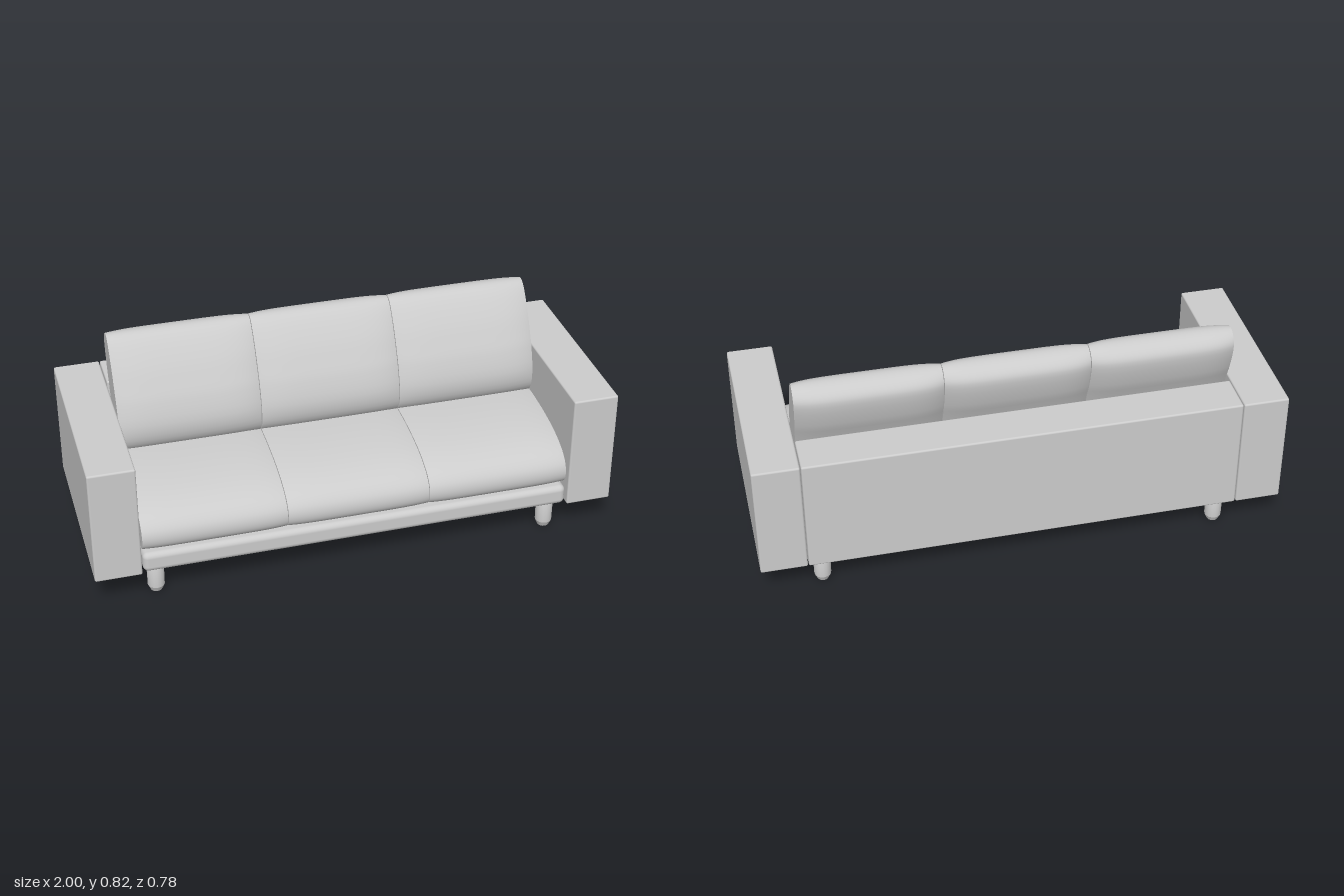
import * as THREE from 'three';
import { RoundedBoxGeometry } from 'three/addons/geometries/RoundedBoxGeometry.js';

const material = new THREE.MeshStandardMaterial({ color: 0xcccccc });

function add(parent, name, geometry, x = 0, y = 0, z = 0) {
  const mesh = new THREE.Mesh(geometry, material);
  mesh.name = name;
  mesh.position.set(x, y, z);
  parent.add(mesh);
  return mesh;
}

// Box given by its limits on each axis
function block(parent, name, [x0, x1], [y0, y1], [z0, z1], radius) {
  const geometry = new RoundedBoxGeometry(x1 - x0, y1 - y0, z1 - z0, 3, radius);
  add(parent, name, geometry, (x0 + x1) / 2, (y0 + y1) / 2, (z0 + z1) / 2);
}

// Padded cushion: a closed (z, y) profile, counter-clockwise, lofted along x.
// squeeze(z, y, t) pulls the profile in as t goes from 0 (middle) to 1 (ends).
function cushionGeometry(profile, width, squeeze) {
  const curve = new THREE.CatmullRomCurve3(
    profile.map(([z, y]) => new THREE.Vector3(0, y, z)), true, 'centripetal');
  const sides = 56, rings = 28;
  const points = curve.getPoints(sides).slice(0, sides);
  const positions = [], index = [];
  const ring = (u) => {
    const t = Math.pow(Math.abs(u), 5);
    for (const p of points) {
      const [z, y] = squeeze(p.z, p.y, t);
      positions.push(u * width / 2, y, z);
    }
  };
  for (let i = 0; i <= rings; i++) ring(Math.sin((i / rings - 0.5) * Math.PI));
  for (let i = 0; i < rings; i++) {
    for (let j = 0; j < sides; j++) {
      const k = (j + 1) % sides;
      const a = i * sides + j, b = a + sides, c = (i + 1) * sides + k, d = i * sides + k;
      index.push(a, b, c, a, c, d);
    }
  }
  // Flat ends with their own vertices, so the seam stays crisp
  for (const u of [-1, 1]) {
    const start = positions.length / 3;
    ring(u);
    const middle = new THREE.Vector3();
    for (let j = 0; j < sides; j++) {
      middle.y += positions[(start + j) * 3 + 1] / sides;
      middle.z += positions[(start + j) * 3 + 2] / sides;
    }
    positions.push(u * width / 2, middle.y, middle.z);
    for (let j = 0; j < sides; j++) {
      const a = start + j, b = start + (j + 1) % sides;
      if (u > 0) index.push(start + sides, b, a);
      else index.push(start + sides, a, b);
    }
  }
  const geometry = new THREE.BufferGeometry();
  geometry.setAttribute('position', new THREE.Float32BufferAttribute(positions, 3));
  geometry.setIndex(index);
  geometry.computeVertexNormals();
  return geometry;
}

export function createModel() {
  const sofa = new THREE.Group();
  sofa.name = 'sofa';

  // Frame
  block(sofa, 'leftArm', [0.825, 1], [0.13, 0.59], [-0.39, 0.39], 0.007);
  block(sofa, 'rightArm', [-1, -0.825], [0.13, 0.59], [-0.39, 0.39], 0.007);
  block(sofa, 'backPanel', [-0.822, 0.822], [0.13, 0.59], [-0.39, -0.225], 0.007);
  block(sofa, 'seatBase', [-0.82, 0.82], [0.13, 0.21], [-0.223, 0.385], 0.022);

  // Seat cushions: rounded nose and crowned top
  const seat = cushionGeometry([
    [-0.21, 0.212], [0.05, 0.211], [0.3, 0.211], [0.355, 0.216], [0.379, 0.238],
    [0.386, 0.27], [0.377, 0.305], [0.345, 0.34], [0.27, 0.375], [0.15, 0.4],
    [0, 0.411], [-0.12, 0.408], [-0.21, 0.39], [-0.223, 0.3],
  ], 0.543, (z, y, t) => [
    0.08 + (z - 0.08) * (1 - 0.03 * t),
    0.212 + (y - 0.212) * (1 - 0.05 * t),
  ]);

  // Back cushions: leaning pads, thinner towards their ends
  const back = cushionGeometry([
    [-0.1, 0.375], [-0.05, 0.385], [-0.008, 0.43], [0.004, 0.5], [-0.019, 0.59],
    [-0.045, 0.645], [-0.09, 0.725], [-0.153, 0.803], [-0.188, 0.818],
    [-0.226, 0.81], [-0.256, 0.785], [-0.266, 0.755], [-0.246, 0.655],
    [-0.22, 0.59], [-0.18, 0.49], [-0.14, 0.4],
  ], 0.543, (z, y, t) => {
    const axis = -0.12 - (y - 0.59) * 0.38;
    return [axis + (z - axis) * (1 - 0.23 * t), 0.6 + (y - 0.6) * (1 - 0.025 * t)];
  });

  ['right', 'middle', 'left'].forEach((side, i) => {
    const x = (i - 1) * 0.5455;
    add(sofa, side + 'SeatCushion', seat, x);
    add(sofa, side + 'BackCushion', back, x);
  });

  // Legs with a chamfered foot
  const leg = new THREE.LatheGeometry([
    [0, 0], [0.022, 0], [0.022, 0], [0.032, 0.022], [0.032, 0.022], [0.033, 0.135], [0, 0.135],
  ].map(([r, y]) => new THREE.Vector2(r, y)), 16);
  for (const x of [-0.766, 0.766]) {
    for (const z of [-0.31, 0.31]) {
      add(sofa, (z > 0 ? 'front' : 'back') + (x > 0 ? 'Left' : 'Right') + 'Leg', leg, x, 0, z);
    }
  }
  return sofa;
}
